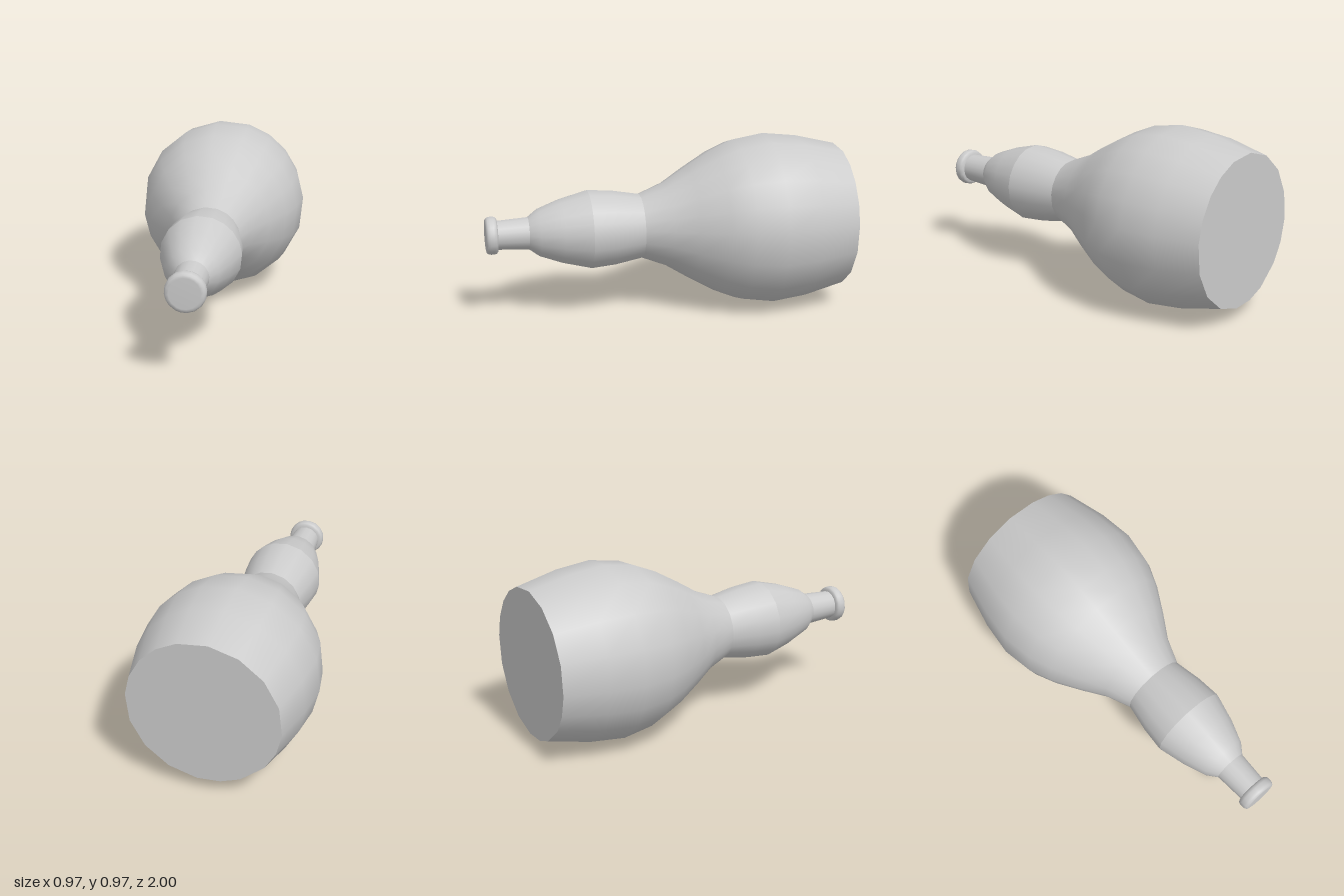
import * as THREE from 'three';

// Directions of the slightly uneven facets around the bottle, in degrees
const ANGLES = [5.5, 22, 39.5, 56, 73, 95.5, 118, 140.5, 163, 185.5, 202.5, 219, 242, 258, 275.5, 298, 320.5, 343, 365.5];
const AXIS_HEIGHT = 0.487;

export function createModel() {
  const group = new THREE.Group();
  group.name = 'bottle';
  const material = new THREE.MeshStandardMaterial({ color: 0xcccccc });

  // Turn a profile of [radius, z] about the long axis, with the uneven facets
  function turned(name, profile) {
    const segments = ANGLES.length - 1;
    const geometry = new THREE.LatheGeometry(profile.map(([r, z]) => new THREE.Vector2(r, z)), segments);
    const axis = new THREE.Vector3(0, 1, 0);
    const v = new THREE.Vector3();
    for (const attribute of [geometry.attributes.position, geometry.attributes.normal]) {
      for (let i = 0; i < attribute.count; i++) {
        const step = Math.floor(i / profile.length);
        const turn = THREE.MathUtils.degToRad(ANGLES[step] + 90 - (step * 360) / segments);
        v.fromBufferAttribute(attribute, i).applyAxisAngle(axis, turn);
        attribute.setXYZ(i, v.x, v.y, v.z);
      }
    }
    geometry.rotateX(Math.PI / 2);
    const mesh = new THREE.Mesh(geometry, material);
    mesh.name = name;
    mesh.position.y = AXIS_HEIGHT;
    group.add(mesh);
  }

  // Flat base and swelling body
  turned('base', [[0, -1], [0.408, -1]]);
  turned('body', [[0.408, -1], [0.463, -0.77], [0.485, -0.575], [0.457, -0.4],
    [0.404, -0.275], [0.32, -0.13], [0.238, 0], [0.18, 0.145]]);

  // Neck bulge, split at its sharp rings
  turned('lowerNeck', [[0.18, 0.145], [0.208, 0.3], [0.219, 0.435]]);
  turned('upperNeck', [[0.219, 0.435], [0.18, 0.585], [0.133, 0.71], [0.09, 0.767]]);
  turned('mouthTube', [[0.09, 0.767], [0.08, 0.94]]);

  // Rounded lip closed at the front
  turned('lip', [[0.075, 0.935], [0.093, 0.937], [0.102, 0.946], [0.105, 0.958], [0.105, 0.975],
    [0.102, 0.988], [0.094, 0.997], [0.08, 1], [0, 1]]);

  return group;
}
